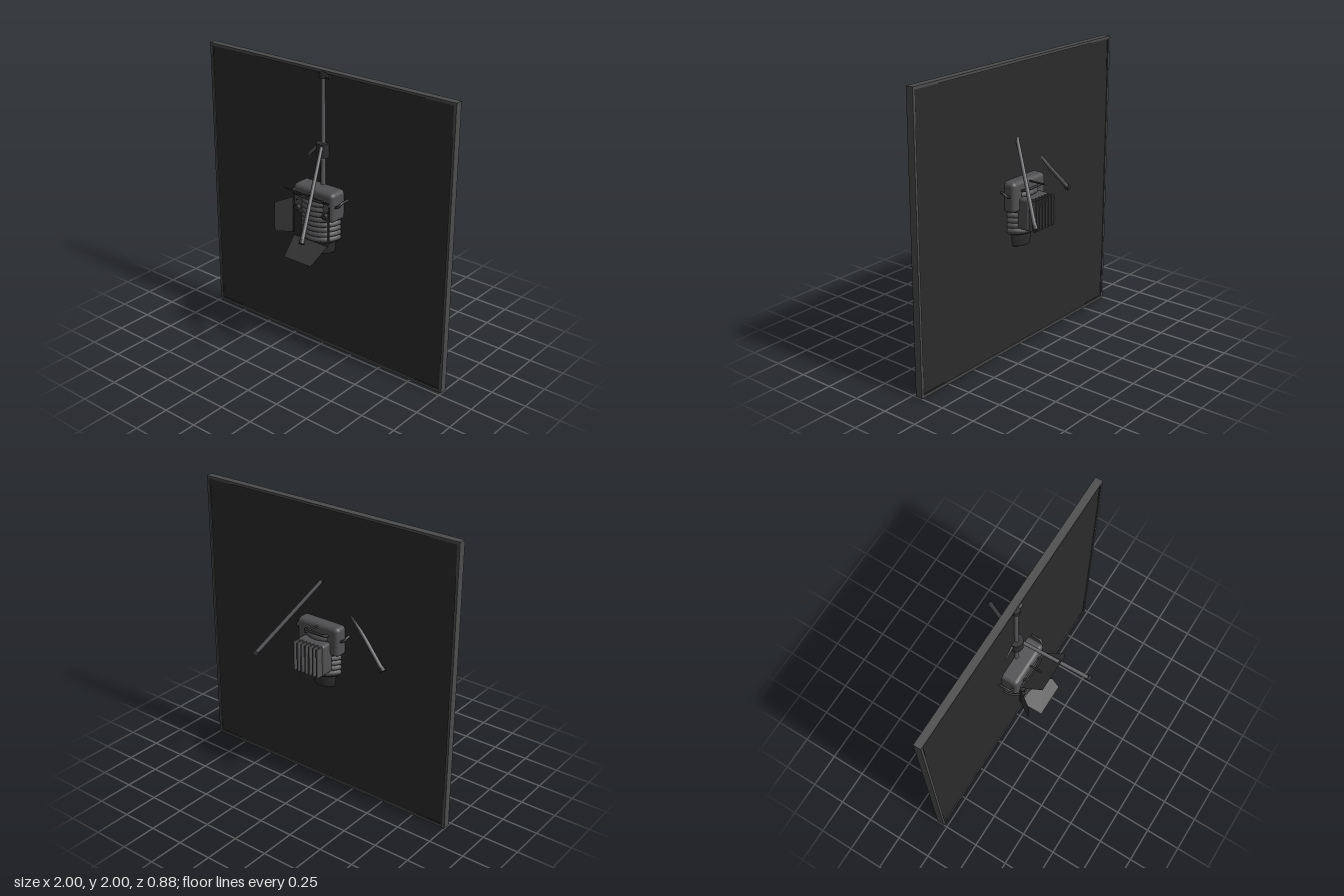
import * as THREE from 'three';
import { RoundedBoxGeometry } from 'three/addons/geometries/RoundedBoxGeometry.js';

const mat = (name, color, side = THREE.FrontSide) => {
  const m = new THREE.MeshStandardMaterial({ color, side });
  m.name = name;
  return m;
};

export function createModel() {
  const frameGrey = mat('frame grey', 0x4c4c4c);
  const fabric = mat('black fabric', 0x2b2b2b);
  const metal = mat('stand metal', 0x5c5c60);
  const darkPlastic = mat('dark plastic', 0x2e2e30);
  const housing = mat('housing grey', 0x505052);
  const doorBlack = mat('door black', 0x343434, THREE.DoubleSide);

  const model = new THREE.Group();
  model.name = 'lampAndFlag';
  const add = (name, geo, material, x = 0, y = 0, z = 0, parent = model) => {
    const m = new THREE.Mesh(geo, material);
    m.name = name;
    m.position.set(x, y, z);
    parent.add(m);
    return m;
  };
  const V = (x, y, z) => new THREE.Vector3(x, y, z);
  // Straight rod between two points
  const rod = (name, a, b, r, material, r2 = r, parent = model) => {
    const m = add(name, new THREE.CylinderGeometry(r2, r, a.distanceTo(b), 14), material, 0, 0, 0, parent);
    m.position.copy(a).add(b).multiplyScalar(0.5);
    m.quaternion.setFromUnitVectors(V(0, 1, 0), b.clone().sub(a).normalize());
    return m;
  };

  // Flag panel: square frame with a slightly recessed cloth
  const flag = new THREE.Group();
  flag.name = 'flagPanel';
  model.add(flag);
  const FZ = -0.052, T = 0.018, D = 0.052;
  for (const s of [-1, 1]) {
    add('frameSide', new THREE.BoxGeometry(T, 2, D), frameGrey, s * (1 - T / 2), 1, FZ, flag);
    add('frameRail', new THREE.BoxGeometry(2 - 2 * T, T, D), frameGrey, 0, 1 + s * (1 - T / 2), FZ, flag);
    for (const t of [-1, 1]) {
      add('cornerTab', new THREE.BoxGeometry(0.2, 0.008, 0.044), darkPlastic, s * 0.88, 1 + t * 0.979, FZ, flag);
      add('cornerTab', new THREE.BoxGeometry(0.008, 0.2, 0.044), darkPlastic, s * 0.979, 1 + t * 0.88, FZ, flag);
    }
  }
  add('cloth', new THREE.BoxGeometry(1.965, 1.965, 0.038), fabric, 0, 1, FZ, flag);

  // Stand: pole, collar, top clamp and three legs
  const stand = new THREE.Group();
  stand.name = 'stand';
  model.add(stand);
  const SZ = -0.025;
  rod('pole', V(0, 1.15, SZ), V(0, 1.98, SZ), 0.016, metal, 0.013, stand);
  add('collar', new THREE.CylinderGeometry(0.046, 0.046, 0.095, 24), darkPlastic, 0, 1.465, SZ, stand);
  add('topClamp', new THREE.CylinderGeometry(0.025, 0.025, 0.04, 20), darkPlastic, 0, 1.97, SZ, stand);
  rod('clampKnob', V(0.01, 1.965, SZ), V(0.056, 1.965, SZ), 0.012, darkPlastic, 0.012, stand);
  const feet = [V(0.19, 1.02, 0.415), V(0.295, 1.02, -0.42), V(-0.49, 1.02, -0.1)];
  for (const foot of feet) {
    const dir = V(foot.x, 0, foot.z - SZ).normalize();
    const top = V(dir.x * 0.035, 1.495, SZ + dir.z * 0.035);
    rod('leg', foot, top, 0.014, metal, 0.012, stand);
    const along = top.clone().sub(foot).normalize().multiplyScalar(0.015);
    rod('foot', foot.clone().sub(along), foot.clone().add(along), 0.019, darkPlastic, 0.019, stand);
  }

  // Lamp body: ribbed drum with a rounded box on top
  const lamp = new THREE.Group();
  lamp.name = 'lamp';
  model.add(lamp);
  const LZ = -0.03;
  const profile = [new THREE.Vector2(0, 0.84), new THREE.Vector2(0.125, 0.84), new THREE.Vector2(0.135, 0.85)];
  for (let i = 0; i < 8; i++) {
    const y = 0.855 + i * 0.036;
    profile.push(new THREE.Vector2(0.138, y), new THREE.Vector2(0.149, y + 0.008),
      new THREE.Vector2(0.149, y + 0.026), new THREE.Vector2(0.138, y + 0.034));
  }
  profile.push(new THREE.Vector2(0.13, 1.15), new THREE.Vector2(0, 1.15));
  add('ribbedDrum', new THREE.LatheGeometry(profile, 40), housing, 0, 0, LZ, lamp);
  add('topHousing', new RoundedBoxGeometry(0.34, 0.21, 0.235, 4, 0.03), housing, 0, 1.115, -0.032, lamp);

  // Lower snoot
  const snoot = [[0, 0.752], [0.08, 0.752], [0.09, 0.745], [0.096, 0.75], [0.108, 0.84], [0.1, 0.86]]
    .map(p => new THREE.Vector2(...p));
  add('snoot', new THREE.LatheGeometry(snoot, 24), darkPlastic, 0, 0, LZ, lamp);

  // Rear heat sink
  add('heatSinkBase', new RoundedBoxGeometry(0.22, 0.22, 0.1, 3, 0.02), housing, 0, 1.0, -0.175, lamp);
  for (let i = -3; i <= 3; i++) {
    add('coolingFin', new THREE.BoxGeometry(0.01, 0.21, 0.06), housing, i * 0.032, 1.0, -0.246, lamp);
  }

  // Bent grips: two at the sides, one in front and one behind
  const grip = (name, pts, r) => add(name,
    new THREE.TubeGeometry(new THREE.CatmullRomCurve3(pts, false, 'catmullrom', 0.3), 32, r, 8), darkPlastic, 0, 0, 0, lamp);
  for (const s of [-1, 1]) {
    grip('sideHandle', [V(s * 0.16, 1.12, 0.055), V(s * 0.195, 1.135, 0.05), V(s * 0.203, 1.155, 0.025),
      V(s * 0.203, 1.155, -0.08), V(s * 0.195, 1.135, -0.11), V(s * 0.16, 1.12, -0.115)], 0.009);
    const z = s > 0 ? 0.07 : -0.13;
    grip('bowHandle', [V(-0.09, 1.15, z), V(-0.075, 1.16, z + s * 0.045),
      V(0.075, 1.16, z + s * 0.045), V(0.09, 1.15, z)], 0.009);
    rod('guideRod', V(0, 1.2, s > 0 ? 0.06 : -0.13), V(0, 1.2, s > 0 ? 0.245 : -0.27), 0.006, darkPlastic, 0.006, lamp);
    rod('knob', V(s * 0.118, 1.06, 0.06), V(s * 0.118, 1.06, 0.115), 0.02, darkPlastic, 0.02, lamp);
  }

  // Four hinged barn doors, each a thin tapered leaf
  const door = (name, a, b, c, d) => {
    const g = new THREE.BufferGeometry().setFromPoints([a, b, c, d]);
    g.setIndex([0, 1, 2, 0, 2, 3]);
    g.computeVertexNormals();
    add(name, g, doorBlack, 0, 0, 0, lamp);
    rod(name + 'Hinge', a, b, 0.006, darkPlastic, 0.006, lamp);
  };
  door('topDoor', V(-0.147, 1.155, 0.1), V(0.147, 1.155, 0.1), V(0.12, 1.26, 0.245), V(-0.12, 1.26, 0.245));
  door('bottomDoor', V(0.147, 0.855, 0.1), V(-0.147, 0.855, 0.1), V(-0.115, 0.75, 0.245), V(0.115, 0.75, 0.245));
  for (const s of [-1, 1]) {
    door('sideDoor', V(s * 0.15, 0.87, 0.1), V(s * 0.15, 1.13, 0.1), V(s * 0.225, 1.105, 0.21), V(s * 0.225, 0.895, 0.21));
  }
  return model;
}
